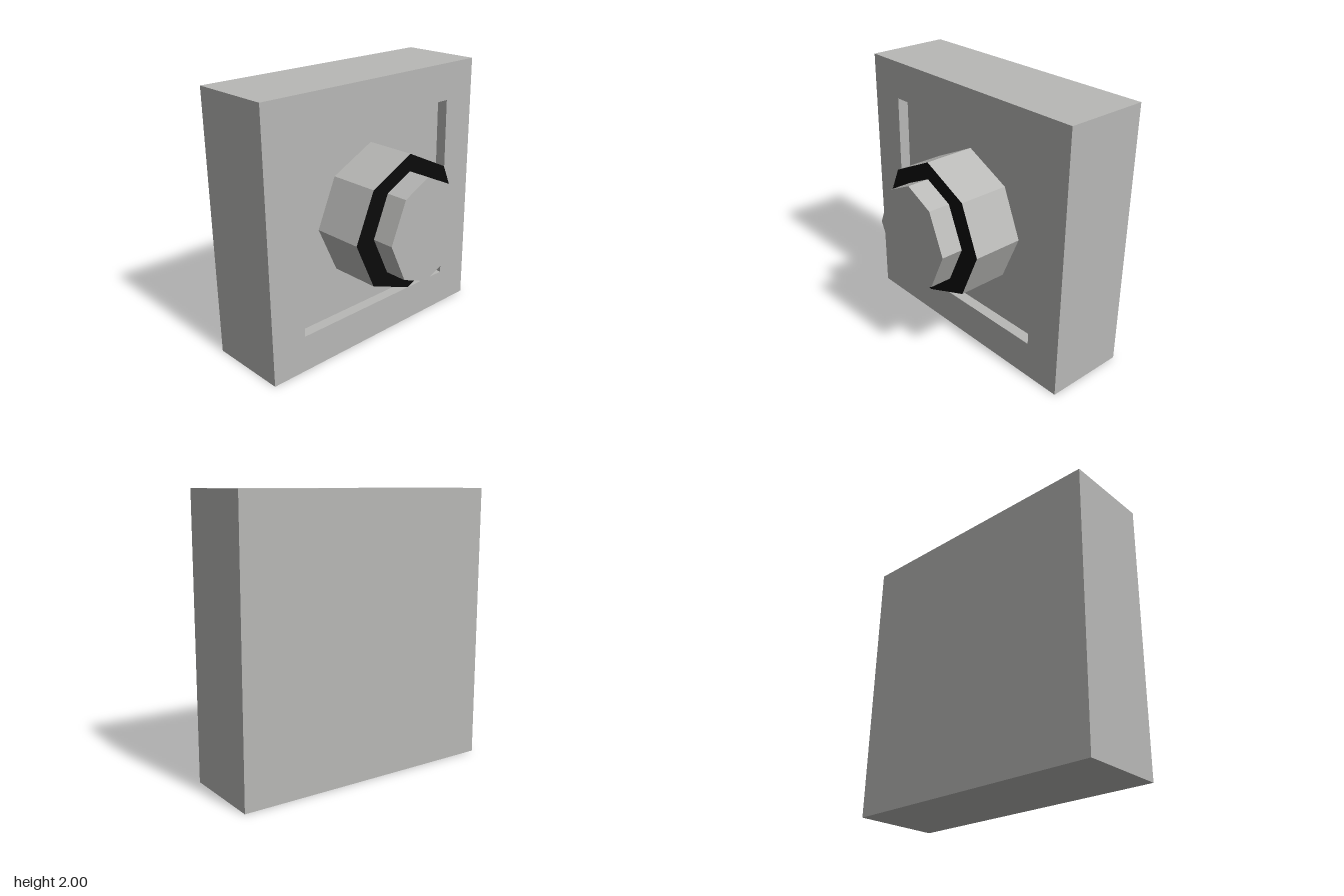
import * as THREE from 'three';

const grey = new THREE.MeshStandardMaterial({ color: 0xb8b8b6 });
grey.name = 'grey';
const black = new THREE.MeshStandardMaterial({ color: 0x0a0a0a });
black.name = 'black';

// Extrude an outline of [z, y] points along x, from x0 to x1
function extrudeX(name, outline, x0, x1, material, hole) {
  const toVectors = (pts) => pts.map(([z, y]) => new THREE.Vector2(-z, y));
  const shape = new THREE.Shape(toVectors(outline));
  if (hole) shape.holes.push(new THREE.Path(toVectors(hole)));
  const geometry = new THREE.ExtrudeGeometry(shape, { depth: x1 - x0, bevelEnabled: false });
  geometry.rotateY(Math.PI / 2).translate(x0, 0, 0);
  const mesh = new THREE.Mesh(geometry, material);
  mesh.name = name;
  return mesh;
}

// Square outline centred on z = 0, y = 1
const square = (h) => [[h, 1 - h], [-h, 1 - h], [-h, 1 + h], [h, 1 + h]];

export function createModel() {
  const model = new THREE.Group();
  model.name = 'wallButton';

  // Block with a shallow square recess on its +x face
  model.add(extrudeX('block', square(1), -0.55, 0, grey));
  model.add(extrudeX('recessFrame', square(1), 0, 0.085, grey, square(0.72)));

  // Eight-sided collar with a black end face
  const collar = [
    [-0.005, 0.515], [-0.36, 0.65], [-0.51, 1.0], [-0.36, 1.355],
    [-0.005, 1.527], [0.342, 1.355], [0.498, 1.0], [0.342, 0.65],
  ];
  model.add(extrudeX('collar', collar, 0, 0.382, [black, grey]));

  // Narrower eight-sided push cap
  const cap = [
    [-0.005, 0.627], [-0.226, 0.712], [-0.356, 1.0], [-0.226, 1.297],
    [-0.005, 1.402], [0.21, 1.297], [0.339, 1.0], [0.21, 0.712],
  ];
  model.add(extrudeX('pushCap', cap, 0.382, 0.548, grey));

  return model;
}
